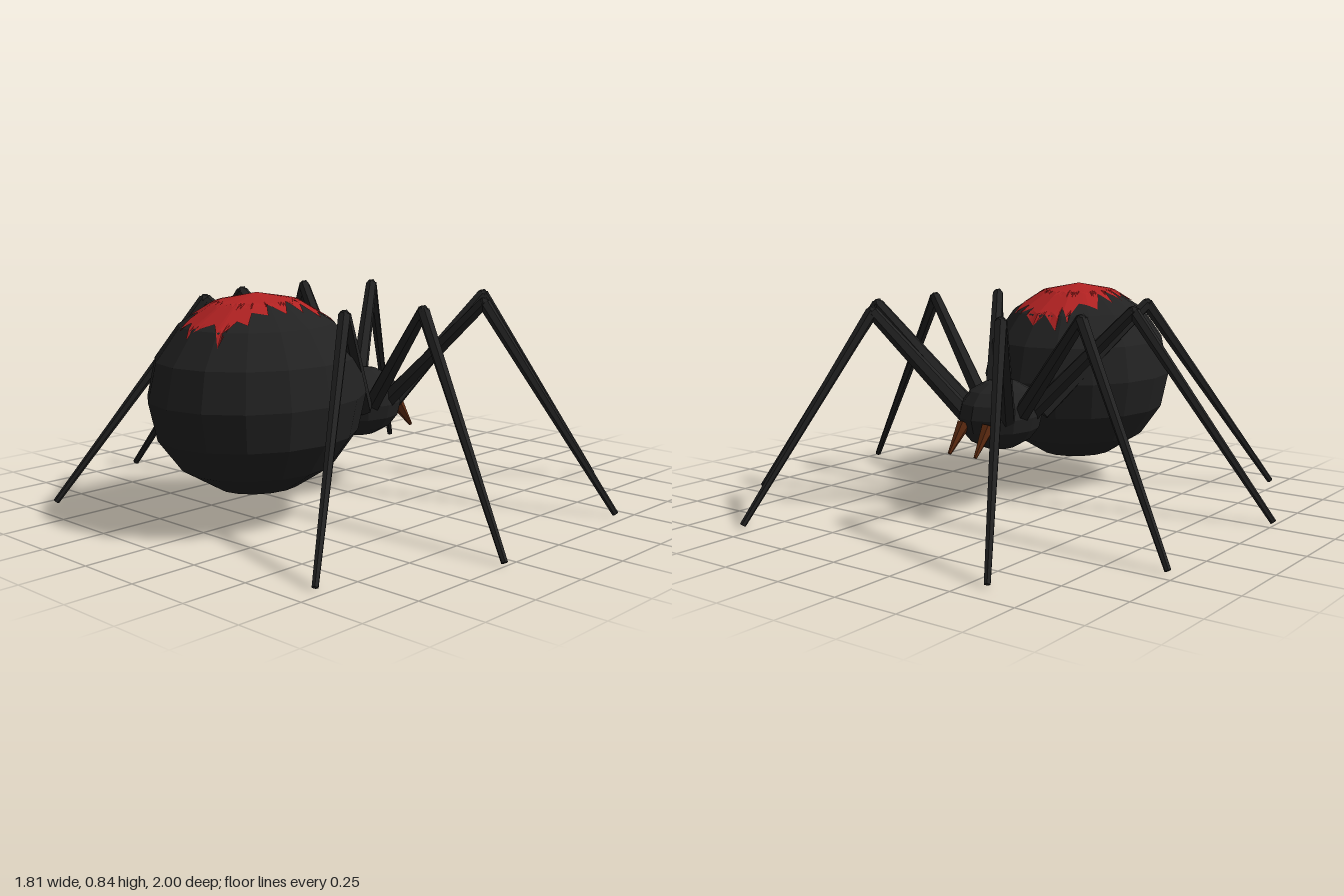
import * as THREE from 'three';

const flat = (name, color) => {
  const m = new THREE.MeshStandardMaterial({ color, flatShading: true });
  m.name = name;
  return m;
};

// Tapered limb between two points
function limb(name, from, to, r0, r1, sides, material) {
  const a = new THREE.Vector3(...from), b = new THREE.Vector3(...to);
  const dir = b.clone().sub(a);
  const mesh = new THREE.Mesh(new THREE.CylinderGeometry(r1, r0, dir.length(), sides), material);
  mesh.position.copy(a).add(b).multiplyScalar(0.5);
  mesh.quaternion.setFromUnitVectors(new THREE.Vector3(0, 1, 0), dir.normalize());
  mesh.name = name;
  return mesh;
}

const SEG = 16, RINGS = 8;
const CENTER = [-0.48, 0.472, 0], RADII = [0.42, 0.367, 0.375];

// Height of the faceted abdomen above a point of its plan
function abdomenHeight(x, z) {
  const u = (x - CENTER[0]) / RADII[0], w = z / RADII[2];
  const step = (2 * Math.PI) / SEG;
  const az = Math.atan2(w, u);
  const mid = (Math.floor(az / step) + 0.5) * step;
  const r = Math.hypot(u, w) * Math.cos(az - mid) / Math.cos(step / 2);
  const d = Math.PI / RINGS;
  const i = Math.min(Math.floor(Math.asin(Math.min(r, 1)) / d), RINGS / 2 - 1);
  const t = (r - Math.sin(i * d)) / (Math.sin((i + 1) * d) - Math.sin(i * d));
  return CENTER[1] + RADII[1] * THREE.MathUtils.lerp(Math.cos(i * d), Math.cos((i + 1) * d), t);
}

// Jagged outline of the back marking (x, z)
const OUTLINE = [
  [-0.8, -0.01], [-0.74, -0.05], [-0.77, -0.08], [-0.67, -0.1], [-0.66, -0.16], [-0.58, -0.14],
  [-0.53, -0.18], [-0.51, -0.14], [-0.5, -0.2], [-0.46, -0.14], [-0.43, -0.2], [-0.41, -0.14],
  [-0.33, -0.19], [-0.3, -0.12], [-0.2, -0.13], [-0.24, -0.08], [-0.16, -0.1], [-0.19, -0.03],
  [-0.15, 0], [-0.19, 0.06], [-0.23, 0.05], [-0.2, 0.1], [-0.25, 0.09], [-0.23, 0.15],
  [-0.33, 0.16], [-0.35, 0.2], [-0.4, 0.14], [-0.43, 0.19], [-0.46, 0.13], [-0.51, 0.19],
  [-0.55, 0.13], [-0.58, 0.17], [-0.62, 0.13], [-0.67, 0.165], [-0.68, 0.12], [-0.78, 0.13],
  [-0.73, 0.06],
];

// Thin marking laid over the abdomen facets
function markingGeometry() {
  const rim = [], split = 4, rings = 10, pos = [];
  OUTLINE.forEach(([x, z], i) => {
    const [nx, nz] = OUTLINE[(i + 1) % OUTLINE.length];
    for (let k = 0; k < split; k++) rim.push([x + (nx - x) * k / split, z + (nz - z) * k / split]);
  });
  const point = ([x, z], t) => {
    const px = CENTER[0] + (x - CENTER[0]) * t, pz = z * t;
    return [px, abdomenHeight(px, pz) + 0.004, pz];
  };
  rim.forEach((p, i) => {
    const q = rim[(i + 1) % rim.length];
    for (let k = 0; k < rings; k++) {
      const t0 = k / rings, t1 = (k + 1) / rings;
      pos.push(...point(p, t0), ...point(q, t1), ...point(p, t1));
      if (k) pos.push(...point(p, t0), ...point(q, t0), ...point(q, t1));
    }
  });
  const g = new THREE.BufferGeometry();
  g.setAttribute('position', new THREE.Float32BufferAttribute(pos, 3));
  g.computeVertexNormals();
  return g;
}

export function createModel() {
  const model = new THREE.Group();
  model.name = 'spider';
  const black = flat('black', 0x222222);
  const red = flat('red', 0xb22222);
  red.side = THREE.DoubleSide;
  const brown = flat('brown', 0x5c2a10);

  // Body
  const abdomen = new THREE.Mesh(new THREE.SphereGeometry(1, SEG, RINGS), black);
  abdomen.scale.set(...RADII);
  abdomen.position.set(...CENTER);
  abdomen.name = 'abdomen';

  const head = new THREE.Mesh(new THREE.SphereGeometry(1, 12, 8), black);
  head.scale.set(0.185, 0.138, 0.155);
  head.position.set(0.068, 0.368, 0);
  head.name = 'head';

  const marking = new THREE.Mesh(markingGeometry(), red);
  marking.name = 'backMarking';
  model.add(abdomen, head, marking);

  // Legs: hip, knee and foot on one side, mirrored across z
  const legs = [
    ['rearLeg', [-0.04, 0.37, 0.12], [-0.41, 0.782, 0.37], [-0.895, 0.012, 0.705]],
    ['midRearLeg', [0.02, 0.36, 0.1], [-0.12, 0.782, 0.48], [-0.302, 0.012, 0.99]],
    ['midFrontLeg', [0.09, 0.36, 0.1], [0.235, 0.782, 0.48], [0.438, 0.012, 0.957]],
    ['frontLeg', [0.16, 0.37, 0.1], [0.465, 0.782, 0.3], [0.895, 0.012, 0.567]],
  ];
  for (const side of [1, -1]) {
    const flip = ([x, y, z]) => [x, y, z * side];
    for (const [name, hip, knee, foot] of legs) {
      const leg = new THREE.Group();
      leg.name = name;
      leg.add(
        limb('upperLeg', flip(hip), flip(knee), 0.035, 0.024, 6, black),
        limb('lowerLeg', flip(knee), flip(foot), 0.024, 0.012, 6, black),
      );
      const joint = new THREE.Mesh(new THREE.IcosahedronGeometry(0.024, 0), black);
      joint.position.set(...flip(knee));
      joint.name = 'knee';
      leg.add(joint);
      model.add(leg);
    }
    // Fang
    model.add(limb('fang', [0.225, 0.345, 0.058 * side], [0.308, 0.243, 0.062 * side], 0.027, 0.007, 6, brown));
  }
  return model;
}
